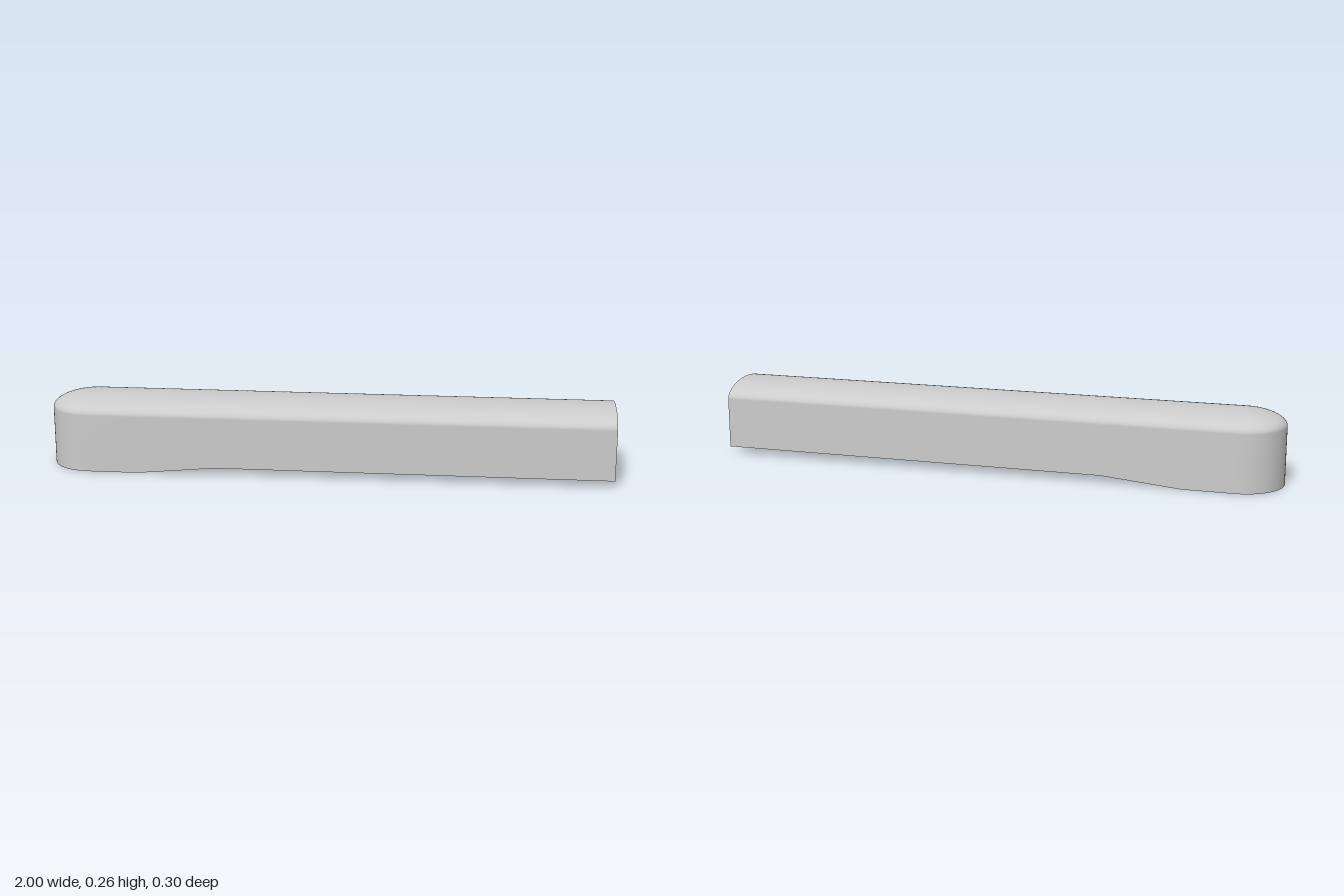
import * as THREE from 'three';
import { mergeVertices } from 'three/addons/utils/BufferGeometryUtils.js';

const grey = new THREE.MeshStandardMaterial({ color: 0xcccccc, side: THREE.DoubleSide });
const OPEN = 1, CAP = -0.85, R = 0.15, EAVE = 0.205, FLOOR = 0.026;
const RAMP0 = -0.67, RAMP1 = -0.39, SEG = 24;
const WALL = 0.008, PR = 0.12, PX = -0.62;

// underside height along the body: deep foot, ramp, raised floor
const underside = x => FLOOR * THREE.MathUtils.clamp((x - RAMP0) / (RAMP1 - RAMP0), 0, 1);

// surface through rows of points
function grid(rows, flip = false) {
  const n = rows[0].length, index = [];
  for (let i = 0; i < rows.length - 1; i++)
    for (let j = 0; j < n - 1; j++) {
      const a = i * n + j, b = a + 1, c = a + n, d = c + 1;
      if (flip) index.push(a, c, b, b, c, d);
      else index.push(a, b, c, b, d, c);
    }
  let g = new THREE.BufferGeometry();
  g.setAttribute('position', new THREE.Float32BufferAttribute(rows.flat(2), 3));
  g.setIndex(index);
  g = mergeVertices(g, 1e-5);
  g.computeVertexNormals();
  return g;
}

// U-shaped plan: straight side, half circle, straight side
function plan(xs, cx, r, a0 = 0) {
  const pts = xs.map(x => [x, r]);
  for (let i = 0; i <= SEG; i++) {
    const a = a0 + (Math.PI - 2 * a0) * i / SEG;
    pts.push([cx - r * Math.sin(a), r * Math.cos(a)]);
  }
  return pts.concat(xs.slice().reverse().map(x => [x, -r]));
}

// wall and vaulted roof profile over one plan point
function section([x, z], rise, foot) {
  const sx = Math.max(x, CAP), pts = [[x, foot(x), z]];
  for (let k = 0; k <= 14; k++) {
    const a = k / 14 * Math.PI / 2, c = k === 14 ? 0 : Math.cos(a);
    pts.push([sx + (x - sx) * c, EAVE + rise * Math.sin(a), z * c]);
  }
  return pts;
}

export function createModel() {
  const model = new THREE.Group();
  const add = (name, geometry, parent = model) => {
    const m = new THREE.Mesh(geometry, grey);
    m.name = name;
    parent.add(m);
    return m;
  };
  const box = (name, x0, x1, y0, y1, z0, z1) =>
    add(name, new THREE.BoxGeometry(x1 - x0, y1 - y0, z1 - z0))
      .position.set((x0 + x1) / 2, (y0 + y1) / 2, (z0 + z1) / 2);

  // outer and inner skins of the casing
  const xs = [OPEN, 0.5, 0, RAMP1, RAMP0];
  const outer = plan(xs, CAP, R).map(p => section(p, 0.055, underside));
  const inner = plan(xs, CAP, R - WALL).map(p => section(p, 0.045, () => FLOOR));
  add('casing', grid(outer));
  add('casingLining', grid(inner, true));

  // rim of the open end
  add('rimLeft', grid([outer[0], inner[0]], true));
  add('rimRight', grid([outer.at(-1), inner.at(-1)]));

  // thin floor
  const floorShape = new THREE.Shape(plan([OPEN], CAP, R - 0.001).map(([x, z]) => new THREE.Vector2(x, z)));
  const floor = new THREE.ExtrudeGeometry(floorShape, { depth: 0.003, bevelEnabled: false });
  floor.rotateX(Math.PI / 2).translate(0, FLOOR + 0.003, 0);
  add('floor', floor);

  // foot underside with a round-ended pocket
  const footEdge = plan([RAMP1, PX, RAMP0], CAP, R);
  const a0 = Math.asin((PX - RAMP0) / PR);
  const pocketEdge = plan([RAMP1, PX], PX, PR, a0);
  // pair the ramp break with the first and last arc points
  pocketEdge.splice(2, 0, pocketEdge[2]);
  pocketEdge.splice(-2, 0, pocketEdge.at(-3));
  add('footUnderside', grid(footEdge.map(([x, z], i) => {
    const [px, pz] = pocketEdge[i];
    return [[x, underside(x), z], [px, underside(px), pz]];
  }), false));

  // stepped pocket wall
  const edge = plan([RAMP1, PX], PX, PR), step = plan([RAMP1, PX], PX, PR - 0.008);
  const ring = (pts, y) => pts.map(([x, z]) => [x, Math.max(y, underside(x)), z]);
  const levels = [ring(edge, 0), ring(edge, 0.012), ring(step, 0.012), ring(step, FLOOR)];
  ['pocketWall', 'pocketStep', 'pocketInnerWall'].forEach((name, k) =>
    add(name, grid(levels[k].map((p, i) => [p, levels[k + 1][i]]), true)));

  // inner blocks either side of the passage, topped by the vault
  const ri = R - WALL, z0 = 0.067;
  for (const side of [1, -1]) {
    const s = new THREE.Shape();
    s.moveTo(side * z0, FLOOR);
    s.lineTo(side * ri, FLOOR);
    for (let k = 0; k <= 6; k++) {
      const z = ri + (z0 - ri) * k / 6;
      s.lineTo(side * z, EAVE + 0.045 * Math.sqrt(1 - (z / ri) ** 2));
    }
    const g = new THREE.ExtrudeGeometry(s, { depth: 0.28, bevelEnabled: false });
    g.rotateY(Math.PI / 2).translate(0.6, 0, 0);
    add(side > 0 ? 'rightBlock' : 'leftBlock', g);

    // tapered pegs in the open end's corners
    const peg = add('cornerPeg', new THREE.CylinderGeometry(0.013, 0.009, 0.062, 16));
    peg.position.set(0.95, 0.058, side * 0.134);
  }

  // low fittings in the passage
  box('fittingPost', 0.84, 0.87, FLOOR, 0.07, -0.005, 0.02);
  box('fittingBar', 0.76, 0.8, FLOOR, 0.06, -0.012, 0.047);
  box('fittingSide', 0.72, 0.86, FLOOR, 0.088, 0.047, 0.067);
  box('fittingPlate', 0.72, 0.82, FLOOR, 0.093, -0.067, -0.01);
  box('fittingStep', 0.82, 0.87, FLOOR, 0.078, -0.067, -0.042);

  return model;
}
